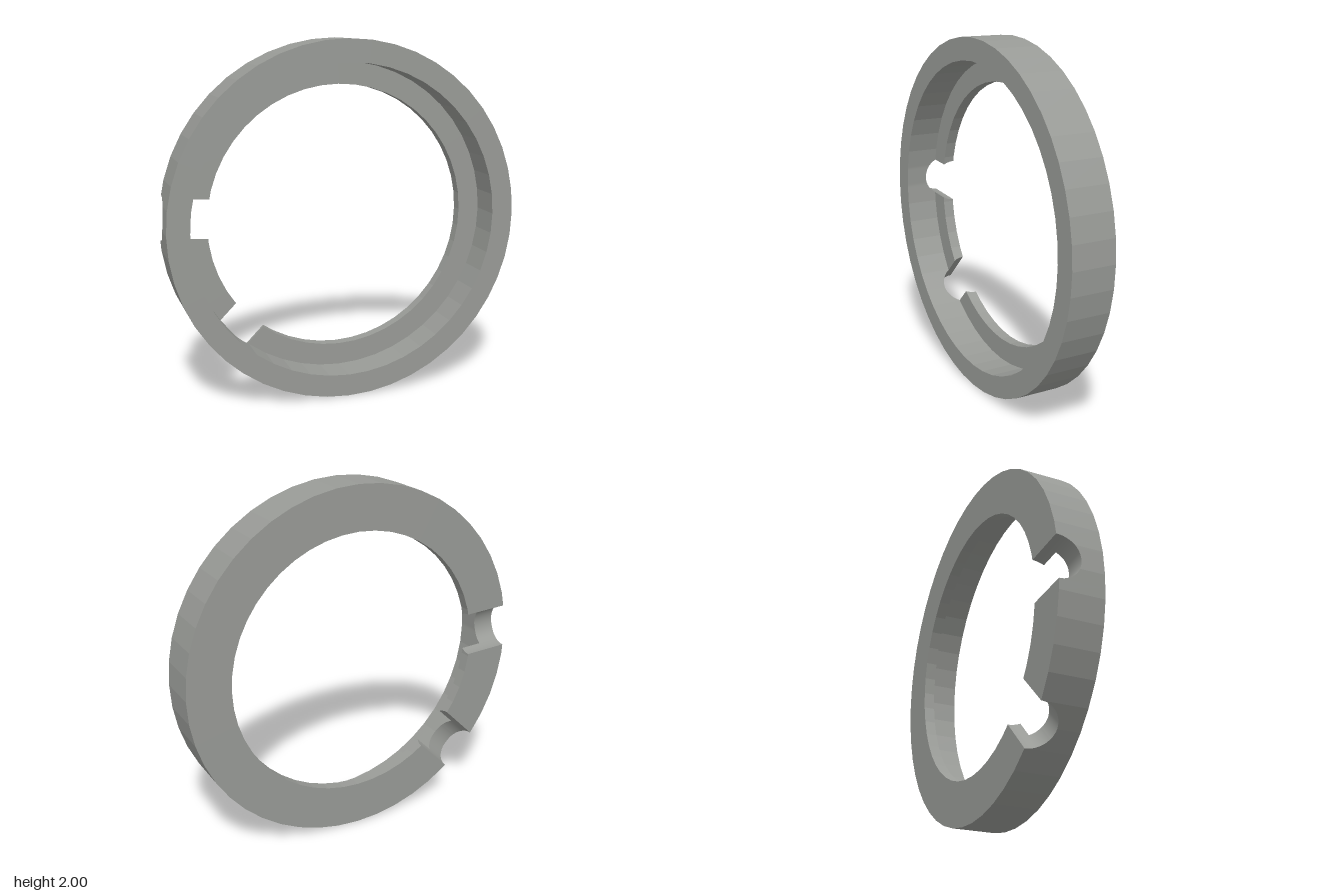
import * as THREE from 'three';
import { toCreasedNormals } from 'three/addons/utils/BufferGeometryUtils.js';

const SIDES = 48, SEG = (Math.PI * 2) / SIDES, DEG = Math.PI / 180;
const OUTER = 1, WALL = 0.875, FLANGE = 0.75;        // radii
const FRONT = 0.125, BACK = -0.125, FLOOR = -0.0625; // z levels
const GROOVE = 0.125;                                // groove radius
const NOTCHES = [177 * DEG, 225 * DEG];              // groove directions

// Point on the faceted circle of radius r
function polar(r, angle, z) {
  const off = ((angle % SEG) + SEG) % SEG - SEG / 2;
  const d = (r * Math.cos(SEG / 2)) / Math.cos(off);
  return new THREE.Vector3(d * Math.cos(angle), 1 + d * Math.sin(angle), z);
}

// L-shaped cross-section; t is the sideways offset from the direction angle
function section(angle, t, back, hasFlange) {
  const inner = hasFlange ? FLANGE : WALL;
  const floor = hasFlange ? FLOOR : back;
  return [
    [OUTER, back], [OUTER, FRONT], [WALL, FRONT],
    [WALL, floor], [inner, floor], [inner, back],
  ].map(([r, z]) => polar(r, angle + Math.asin(t / r), z));
}

// Cross-sections all the way round, with round radial grooves cut in the back
function ringSections() {
  const stations = [];
  for (let i = 0; i < SIDES; i++) {
    const a = i * SEG;
    if (NOTCHES.every((n) => Math.abs(a - n) > 9.7 * DEG)) {
      stations.push({ key: a, points: section(a, 0, BACK, true) });
    }
  }
  for (const n of NOTCHES) {
    const add = (deg, hasFlange, order) => {
      const b = deg * DEG;
      const back = BACK + GROOVE * Math.cos(b);
      stations.push({
        key: n + (deg / 90) * 0.16 + order * 1e-5,
        points: section(n, GROOVE * Math.sin(b), back, hasFlange),
      });
    };
    // the groove breaks through the flange between -60 and 60 degrees
    for (let d = -90; d <= -60; d += 5) add(d, true, -1);
    for (let d = -60; d <= 60; d += 5) add(d, false, 0);
    for (let d = 60; d <= 90; d += 5) add(d, true, 1);
  }
  return stations.sort((p, q) => p.key - q.key).map((s) => s.points);
}

// Skin closed cross-sections joined in a closed loop
function skin(sections) {
  const pos = [];
  const tri = new THREE.Triangle();
  const face = (a, b, c) => {
    tri.set(a, b, c);
    if (tri.getArea() > 1e-8) pos.push(...a, ...b, ...c);
  };
  sections.forEach((s, i) => {
    const next = sections[(i + 1) % sections.length];
    s.forEach((p, j) => {
      const k = (j + 1) % s.length;
      face(p, next[j], s[k]);
      face(next[j], next[k], s[k]);
    });
  });
  const geo = new THREE.BufferGeometry();
  geo.setAttribute('position', new THREE.Float32BufferAttribute(pos, 3));
  // keeps ring facets crisp and the finer groove surface smooth
  return toCreasedNormals(geo, 0.1);
}

export function createModel() {
  const grey = new THREE.MeshStandardMaterial({ color: 0x989a96 });
  grey.name = 'metalGrey';
  const ring = new THREE.Mesh(skin(ringSections()), grey);
  ring.name = 'notchedRing';
  const group = new THREE.Group();
  group.name = 'retainingRing';
  group.add(ring);
  return group;
}
